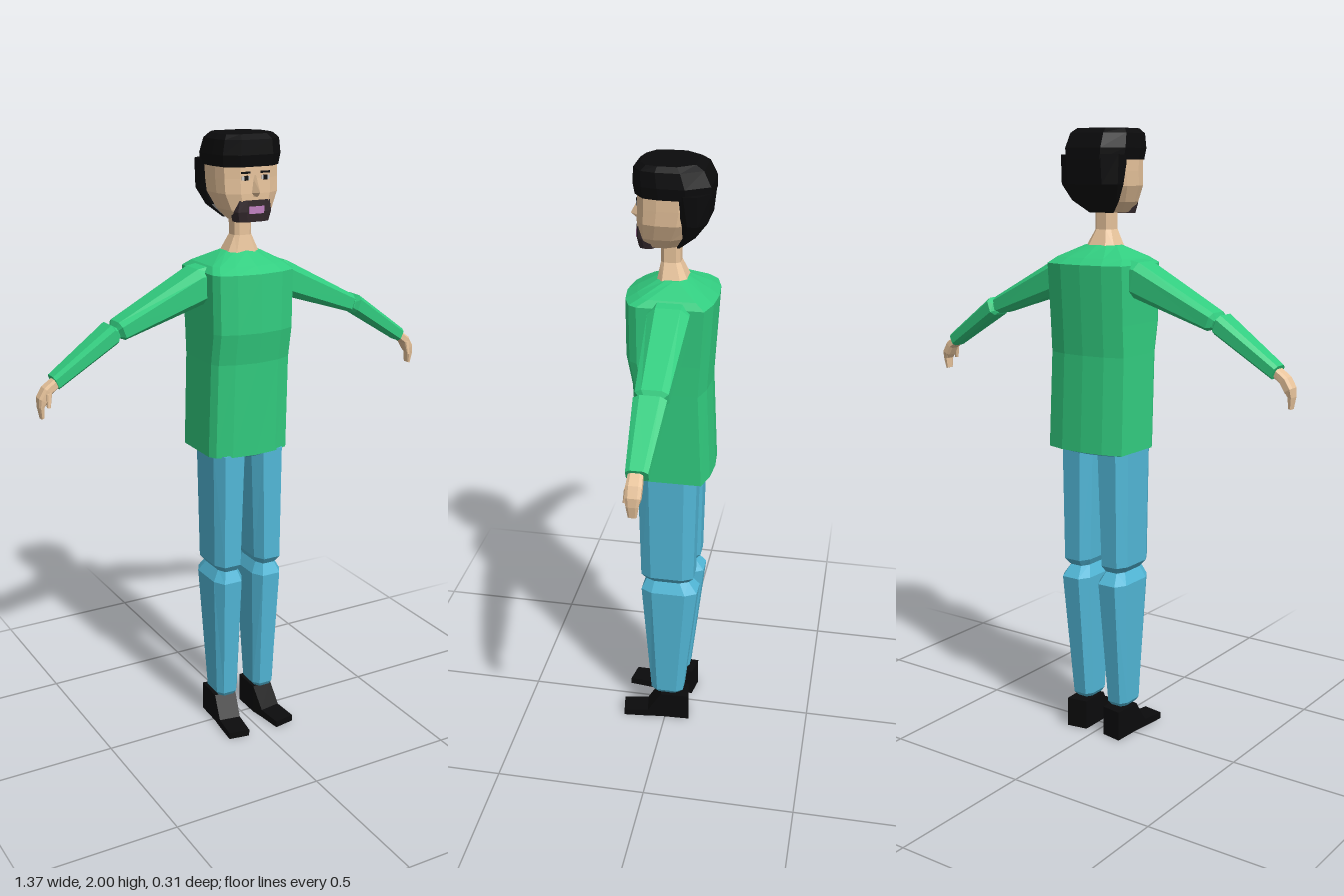
import * as THREE from 'three';

const mat = (color) => new THREE.MeshStandardMaterial({ color, flatShading: true });
const SHIRT = mat(0x32cd80), PANTS = mat(0x52b8d8), SKIN = mat(0xe8c49c), BLACK = mat(0x0b0b0c);
const BEARD = mat(0x352a2e), LIPS = mat(0xc080c0), WHITE = mat(0xf0f0f0);

// Closed, capped loft through rings of [x, y, z] points; faces are turned outward
function loft(name, rings, material) {
  const n = rings[0].length, pts = rings.flat(), tris = [];
  rings.slice(1).forEach((_, r) => {
    for (let i = 0; i < n; i++) {
      const a = r * n + i, b = r * n + (i + 1) % n;
      tris.push([a, b, b + n], [a, b + n, a + n]);
    }
  });
  const last = (rings.length - 1) * n;
  for (let i = 1; i < n - 1; i++) tris.push([0, i + 1, i], [last, last + i, last + i + 1]);
  const v = pts.map((p) => new THREE.Vector3(...p));
  let volume = 0;
  for (const [a, b, c] of tris) volume += v[a].dot(v[b].clone().cross(v[c]));
  const out = [];
  for (const t of tris) for (const i of volume < 0 ? [t[0], t[2], t[1]] : t) out.push(...pts[i]);
  const geo = new THREE.BufferGeometry();
  geo.setAttribute('position', new THREE.Float32BufferAttribute(out, 3));
  geo.computeVertexNormals();
  const mesh = new THREE.Mesh(geo, material);
  mesh.name = name;
  return mesh;
}

// Octagon spanning the line (x0,y0)-(x1,y1) and the depth z0..z1; c is the corner cut
function oct(s, x0, y0, x1, y1, z0, z1, c = 0.2) {
  return [[c, 0], [1 - c, 0], [1, c], [1, 1 - c], [1 - c, 1], [c, 1], [0, 1 - c], [0, c]].map(([u, w]) =>
    [s * (x0 + (x1 - x0) * u), y0 + (y1 - y0) * u, z0 + (z1 - z0) * w]);
}

// Horizontal body section: ridged front and back with cut corners
function bodyRing(y, w, zf, zb) {
  const half = [[0, zf], [w * 0.55, zf - 0.01], [w * 0.9, zf - 0.03], [w, zf - 0.055], [w, zb + 0.025], [w * 0.55, zb + 0.006]];
  const other = half.slice(1).reverse().map(([x, z]) => [-x, z]);
  return [...half, [0, zb], ...other].map(([x, z]) => [x, y, z]);
}

// Horizontal head section, faceted
function headRing(y, w, zf, zb, tilt = 0) {
  const d = zf - zb;
  const half = [[w * 0.5, zf], [w * 0.9, zf - d * 0.14], [w, zf - d * 0.35], [w, zb + d * 0.3], [w * 0.6, zb]];
  return [...half, ...half.slice().reverse().map(([x, z]) => [-x, z])].map(([x, z]) => [x, y + tilt * (zf - z), z]);
}

function box(name, w, h, d, x, y, z, material) {
  const m = new THREE.Mesh(new THREE.BoxGeometry(w, h, d), material);
  m.position.set(x, y, z);
  m.name = name;
  return m;
}

function createHead() {
  const head = new THREE.Group();
  head.name = 'head';
  head.add(loft('neck', [
    oct(1, -0.055, 1.635, 0.055, 1.635, -0.06, 0.035),
    oct(1, -0.03, 1.69, 0.03, 1.69, -0.035, 0.025),
    oct(1, -0.03, 1.79, 0.03, 1.79, -0.035, 0.025),
  ], SKIN));
  head.add(loft('face', [
    headRing(1.742, 0.05, 0.085, -0.03),
    headRing(1.775, 0.078, 0.09, -0.06),
    headRing(1.825, 0.1, 0.092, -0.09),
    headRing(1.87, 0.102, 0.09, -0.1),
    headRing(1.93, 0.103, 0.09, -0.1),
  ], SKIN));
  // Hair cap, then the hair down the back of the head
  head.add(loft('hairTop', [
    headRing(1.905, 0.106, 0.096, -0.132),
    headRing(1.94, 0.111, 0.102, -0.132),
    headRing(1.985, 0.104, 0.1, -0.11),
    headRing(2.0, 0.09, 0.08, -0.085),
  ], BLACK));
  head.add(loft('hairBack', [
    headRing(1.742, 0.045, -0.025, -0.04),
    headRing(1.78, 0.085, -0.045, -0.085),
    headRing(1.83, 0.107, -0.04, -0.122),
    headRing(1.92, 0.11, -0.015, -0.132),
  ], BLACK));
  // Beard with the mouth set into it
  head.add(loft('beard', [
    headRing(1.739, 0.056, 0.091, 0.03),
    headRing(1.77, 0.064, 0.097, 0.03),
    headRing(1.805, 0.058, 0.097, 0.03),
  ], BEARD));
  head.add(box('mouth', 0.052, 0.022, 0.008, 0, 1.776, 0.096, LIPS));
  // Nose wedge
  head.add(loft('nose', [
    [[-0.016, 1.812, 0.08], [0.016, 1.812, 0.08], [0, 1.815, 0.1]],
    [[-0.018, 1.826, 0.08], [0.018, 1.826, 0.08], [0, 1.83, 0.12]],
    [[-0.008, 1.88, 0.08], [0.008, 1.88, 0.08], [0, 1.88, 0.094]],
  ], SKIN));
  for (const s of [-1, 1]) {
    head.add(box('eyeWhite', 0.026, 0.012, 0.006, s * 0.034, 1.872, 0.09, WHITE));
    head.add(box('pupil', 0.012, 0.014, 0.008, s * 0.033, 1.872, 0.091, BLACK));
    head.add(box('eyebrow', 0.032, 0.006, 0.006, s * 0.034, 1.888, 0.09, BLACK));
  }
  return head;
}

function createArm(s) {
  const arm = new THREE.Group();
  arm.name = s > 0 ? 'leftArm' : 'rightArm';
  arm.add(loft('upperSleeve', [
    oct(s, 0.1, 1.605, 0.1, 1.47, -0.085, 0.042),
    oct(s, 0.16, 1.595, 0.14, 1.485, -0.086, 0.042),
    oct(s, 0.425, 1.455, 0.405, 1.4, -0.073, 0.026),
    oct(s, 0.432, 1.44, 0.42, 1.405, -0.058, 0.012),
    oct(s, 0.447, 1.435, 0.433, 1.4, -0.058, 0.012),
  ], SHIRT));
  arm.add(loft('forearmSleeve', [
    oct(s, 0.435, 1.438, 0.425, 1.4, -0.058, 0.012),
    oct(s, 0.45, 1.45, 0.43, 1.392, -0.073, 0.026),
    oct(s, 0.64, 1.312, 0.622, 1.272, -0.055, 0.01),
  ], SHIRT));
  arm.add(loft('hand', [
    oct(s, 0.63, 1.307, 0.62, 1.278, -0.04, 0.003),
    oct(s, 0.668, 1.28, 0.645, 1.26, -0.043, 0.004),
    oct(s, 0.686, 1.25, 0.66, 1.235, -0.042, 0.003),
    oct(s, 0.687, 1.222, 0.669, 1.222, -0.036, 0),
    oct(s, 0.681, 1.185, 0.67, 1.188, -0.03, -0.005),
  ], SKIN));
  arm.add(loft('thumb', [
    oct(s, 0.648, 1.265, 0.665, 1.265, -0.01, 0.008),
    oct(s, 0.656, 1.222, 0.666, 1.222, 0, 0.012),
  ], SKIN));
  return arm;
}

function createLeg(s) {
  const leg = new THREE.Group();
  leg.name = s > 0 ? 'leftLeg' : 'rightLeg';
  const level = (y, x0, x1, z0, z1) => oct(s, x0, y, x1, y, z0, z1);
  leg.add(loft('thigh', [
    level(0.995, 0.012, 0.128, -0.106, 0.088),
    level(0.605, 0.026, 0.124, -0.098, 0.08),
    level(0.58, 0.038, 0.105, -0.078, 0.062),
  ], PANTS));
  leg.add(loft('shin', [
    level(0.585, 0.038, 0.105, -0.078, 0.062),
    level(0.545, 0.02, 0.126, -0.11, 0.08),
    level(0.12, 0.032, 0.11, -0.063, 0.05),
    level(0.105, 0.042, 0.1, -0.05, 0.04),
  ], PANTS));
  // Shoe lofted from heel to toe, turned slightly outward
  const shoe = [[-0.08, 0.1, 0.036, 0.106], [0.02, 0.1, 0.036, 0.11], [0.066, 0.027, 0.044, 0.116], [0.15, 0.022, 0.054, 0.124]];
  leg.add(loft('shoe', shoe.map(([z, h, x0, x1]) => [
    [s * x0, 0, z + 0.006], [s * x1, 0, z - 0.006], [s * x1, h, z - 0.006], [s * x0, h, z + 0.006],
  ]), BLACK));
  return leg;
}

export function createModel() {
  const model = new THREE.Group();
  model.name = 'standingMan';
  model.add(loft('shirt', [
    bodyRing(0.99, 0.143, 0.1, -0.15),
    bodyRing(1.3, 0.14, 0.115, -0.136),
    bodyRing(1.4, 0.14, 0.134, -0.142),
    bodyRing(1.585, 0.143, 0.134, -0.153),
    bodyRing(1.605, 0.125, 0.1, -0.125),
    bodyRing(1.642, 0.06, 0.035, -0.06),
  ], SHIRT));
  model.add(loft('hips', [bodyRing(0.98, 0.115, 0.08, -0.12), bodyRing(0.992, 0.14, 0.097, -0.146)], PANTS));
  model.add(createHead());
  for (const s of [-1, 1]) model.add(createArm(s), createLeg(s));
  return model;
}
